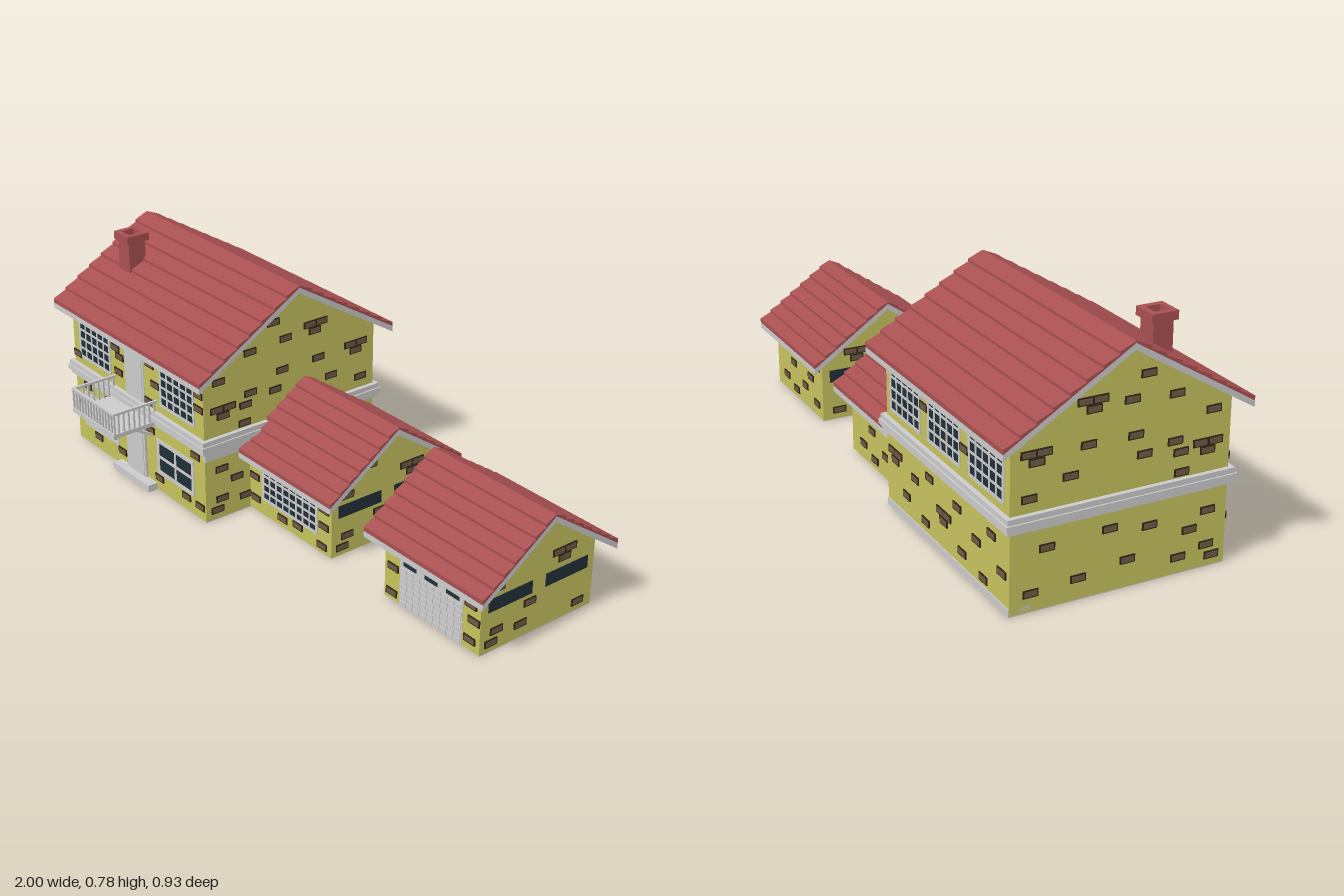
import * as THREE from 'three';

const mat = (color, side = THREE.FrontSide) => new THREE.MeshStandardMaterial({ color, side, flatShading: true });
const grey = mat(0xcccccc), wallMat = mat(0xc6c25e), openWallMat = mat(0xc6c25e, THREE.DoubleSide);
const red = mat(0xa85052), glass = mat(0x212f38), brickMat = mat(0x705b45), mortarMat = mat(0x302619);

function add(parent, name, geometry, material) {
  const mesh = new THREE.Mesh(geometry, material);
  mesh.name = name;
  parent.add(mesh);
  return mesh;
}

// box given by its limits
function block(parent, name, x0, x1, y0, y1, z0, z1, material = grey) {
  const m = add(parent, name, new THREE.BoxGeometry(x1 - x0, y1 - y0, z1 - z0), material);
  m.position.set((x0 + x1) / 2, (y0 + y1) / 2, (z0 + z1) / 2);
  return m;
}

// cross-section of [z, y] points swept along x
function sweepX(points, x0, x1) {
  const shape = new THREE.Shape(points.map(([z, y]) => new THREE.Vector2(-z, y)));
  return new THREE.ExtrudeGeometry(shape, { depth: x1 - x0, bevelEnabled: false })
    .rotateY(Math.PI / 2).translate(x0, 0, 0);
}

// keeps the upright walls only, without the one facing -x
function openShell(geometry) {
  const p = geometry.attributes.position, n = geometry.attributes.normal, kept = [];
  for (let i = 0; i < p.count; i += 3) {
    if (Math.abs(n.getY(i)) > 0.1 || n.getX(i) < -0.5) continue;
    for (let k = i; k < i + 3; k++) kept.push(p.getX(k), p.getY(k), p.getZ(k));
  }
  const g = new THREE.BufferGeometry();
  g.setAttribute('position', new THREE.Float32BufferAttribute(kept, 3));
  g.computeVertexNormals();
  return g;
}

// local frame on a wall: x along the wall, y up, z outward
function facade(parent, name, x, z, angle) {
  const g = new THREE.Group();
  g.name = name;
  g.position.set(x, 0, z);
  g.rotation.y = angle;
  parent.add(g);
  return g;
}

const brickGeo = new THREE.BoxGeometry(0.041, 0.017, 0.005).translate(0, 0, 0.003);
const mortarGeo = new THREE.BoxGeometry(0.049, 0.024, 0.004).translate(0, 0, 0.0025);
function bricks(wall, list) {
  for (const [u, v] of list) {
    add(wall, 'brickEdge', mortarGeo, mortarMat).position.set(u, v, 0);
    add(wall, 'brick', brickGeo, brickMat).position.set(u, v, 0);
  }
}

function windowUnit(wall, u0, u1, v0, v1, cols, rows, bar = 0.007, frame = 0.01) {
  const g = new THREE.Group();
  g.name = 'window';
  wall.add(g);
  block(g, 'pane', u0, u1, v0, v1, -0.001, 0.001, glass);
  for (let i = 0; i <= cols; i++) {
    const u = u0 + (u1 - u0) * i / cols, h = (i % cols ? bar : frame) / 2;
    block(g, 'upright', u - h, u + h, v0, v1, -0.003, 0.003);
  }
  for (let j = 0; j <= rows; j++) {
    const v = v0 + (v1 - v0) * j / rows, h = (j % rows ? bar : frame) / 2;
    block(g, 'crossbar', u0 - frame / 2, u1 + frame / 2, v - h, v + h, -0.0035, 0.0035);
  }
}

// gable roof: grey boards below, stepped rows of shingles above
function roof(parent, x0, x1, ridgeZ, ridgeY, run, slope, rows) {
  const t = 0.02, g = new THREE.Group();
  g.name = 'roof';
  parent.add(g);
  const e = ridgeY - run * slope;
  add(g, 'roofBoards', sweepX([[ridgeZ + run, e], [ridgeZ + run, e + t], [ridgeZ, ridgeY + t],
    [ridgeZ - run, e + t], [ridgeZ - run, e], [ridgeZ, ridgeY]], x0, x1), grey);
  for (const s of [1, -1]) for (let i = 0; i < rows; i++) {
    const a = run * (i + 1) / rows, b = run * i / rows;
    const at = (d, lift) => [ridgeZ + s * d, ridgeY + t - d * slope + lift];
    const row = [at(a, 0), at(a, 0.015), at(b, 0.006), at(b, 0)];
    add(g, 'shingleRow', sweepX(row, x0, x1), red);
  }
}

const MAIN_SIDE = [[.01, .645], [-.04, .577], [.105, .567], [-.14, .598], [-.188, .598], [-.16, .572], [.23, .497],
  [-.025, .468], [-.175, .47], [.105, .423], [.005, .405], [.24, .4], [.19, .4], [.215, .374], [.125, .386],
  [.13, .323], [-.312, .478], [-.36, .478], [-.335, .452], [-.23, .389], [-.357, .348], [.225, .184],
  [.165, .135], [.225, .074], [.245, .037], [.13, .055]];
const LOW_SIDE = [[-.047, .292], [.047, .214], [-.195, .243], [-.243, .243], [-.22, .217], [-.085, .114],
  [.047, .07], [.067, .033], [-.05, .051], [-.29, .035]];
const LOW_BACK = [[-.16, .18], [-.12, .06], [-.05, .13], [-.03, .035], [.03, .17], [.055, .08], [.11, .13], [.16, .05], [.17, .19]];
const flip = list => list.map(([u, v]) => [-u, v]);
const shift = (list, d) => list.map(([u, v]) => [u + d, v]);

function mainHouse() {
  const g = new THREE.Group();
  g.name = 'mainHouse';
  add(g, 'walls', sweepX([[.29, .003], [.29, .527], [-.065, .74], [-.415, .53], [-.415, .003]], -.95, -.16), wallMat);
  block(g, 'floor', -.95, -.16, 0, .003, -.415, .29);
  block(g, 'rearFooting', -.95, -.158, 0, .025, -.418, -.35);
  block(g, 'sideTrim', -.17, -.157, .225, .256, .1, .29);
  [[.255, .27, .012], [.27, .288, .02], [.288, .305, .015]].forEach(([y0, y1, o]) =>
    block(g, 'bandBoard', -.95 - o, -.16 + o, y0, y1, -.415 - o, .29 + o));
  roof(g, -1, -.117, -.065, .74, .398, .607, 8);

  const front = facade(g, 'frontWall', 0, .29, 0);
  windowUnit(front, -.905, -.715, .338, .475, 5, 4);
  windowUnit(front, -.405, -.215, .338, .475, 5, 4);
  windowUnit(front, -.895, -.69, .078, .195, 2, 2, .01, .014);
  windowUnit(front, -.433, -.23, .078, .195, 2, 2, .01, .014);
  for (const [y0, y1, out] of [[.025, .225, .01], [.27, .48, .004]]) {
    block(front, 'doorFrame', -.62, -.505, y0, y1, -.004, out - .002);
    block(front, 'door', -.61, -.515, y0, y1 - .01, -.004, out);
  }
  bricks(front, [[-.675, .45], [-.65, .425], [-.66, .365], [-.465, .465], [-.435, .4], [-.475, .325], [-.185, .41],
    [-.185, .46], [-.87, .232], [-.73, .225], [-.815, .053], [-.645, .225], [-.43, .053], [-.27, .053], [-.21, .23],
    [-.19, .05], [-.925, .34], [-.925, .15], [-.66, .06], [-.475, .22]]);

  const back = facade(g, 'backWall', 0, -.415, Math.PI);
  for (const u of [.295, .555, .815]) windowUnit(back, u - .1, u + .1, .335, .48, 5, 4);
  bricks(back, [[.2, .2], [.245, .2], [.222, .175], [.3, .09], [.36, .17], [.43, .06], [.46, .215], [.53, .14], [.575, .14],
    [.552, .115], [.64, .2], [.67, .07], [.76, .15], [.8, .05], [.85, .21], [.91, .12], [.425, .43], [.685, .4]]);

  bricks(facade(g, 'leftWall', -.16, 0, Math.PI / 2), flip(MAIN_SIDE));
  bricks(facade(g, 'rightWall', -.95, 0, -Math.PI / 2), MAIN_SIDE.concat([[-.1, .2], [-.04, .09], [-.2, .07],
    [-.3, .19], [-.35, .06], [.03, .18]]));

  block(g, 'doorstep', -.67, -.45, 0, .025, .28, .327);
  return g;
}

function balcony() {
  const g = new THREE.Group();
  g.name = 'balcony';
  const x0 = -.69, x1 = -.43, z1 = .462;
  block(g, 'deck', x0, x1, .255, .27, .28, z1);
  block(g, 'frontHandrail', x0, x1, .337, .345, z1 - .009, z1);
  for (let i = 0; i <= 14; i++) {
    const x = x0 + .003 + (x1 - x0 - .006) * i / 14;
    block(g, 'baluster', x - .003, x + .003, .27, .338, z1 - .008, z1 - .002);
  }
  for (const x of [x0 + .0045, x1 - .0045]) {
    block(g, 'sideHandrail', x - .0045, x + .0045, .337, .345, .29, z1);
    for (let i = 0; i < 8; i++) {
      const z = .3 + i * .02;
      block(g, 'baluster', x - .003, x + .003, .27, .338, z - .003, z + .003);
    }
    const inner = x + Math.sign(-.56 - x) * .025;
    add(g, 'brace', sweepX([[.285, .199], [.285, .207], [.375, .257], [.392, .257]], inner - .005, inner + .005), grey);
  }
  return g;
}

const LOW_SECTION = [[.11, .003], [.11, .231], [-.12, .39], [-.35, .231], [-.35, .003]];

// roof, bricks and strip windows shared by the wing and the garage
function lowBuilding(name, x0, x1, roof0, roof1) {
  const g = new THREE.Group();
  g.name = name;
  roof(g, roof0, roof1, -.12, .39, .275, .69, 7);
  endWall(g, 'leftWall', x1, 1);
  bricks(facade(g, 'backWall', 0, -.35, Math.PI), shift(LOW_BACK, -(x0 + x1) / 2));
  return g;
}

function endWall(parent, name, x, side) {
  const wall = facade(parent, name, x, 0, side * Math.PI / 2);
  bricks(wall, side > 0 ? flip(LOW_SIDE) : LOW_SIDE);
  for (const z of [-.005, -.235])
    block(wall, 'stripWindow', -side * z - .087, -side * z + .087, .14, .183, -.001, .003, glass);
}

export function createModel() {
  const model = new THREE.Group();
  model.name = 'house';
  model.add(mainHouse(), balcony());

  // wing, open underneath and towards the main house
  const wing = lowBuilding('wing', -.16, .27, -.165, .317);
  add(wing, 'walls', openShell(sweepX(LOW_SECTION, -.16, .27)), openWallMat);
  add(wing, 'ceiling', sweepX([[.109, .228], [.109, .231], [-.12, .389], [-.349, .231], [-.349, .228], [-.12, .386]],
    -.159, .269), red);
  const wingFront = facade(wing, 'frontWall', 0, .11, 0);
  windowUnit(wingFront, -.085, .195, .064, .181, 8, 4);
  bricks(wingFront, [[-.125, .05], [-.13, .13], [.02, .035], [.1, .045], [.235, .105], [.235, .165], [.225, .03], [-.125, .185]]);

  const garage = lowBuilding('garage', .53, .95, .48, 1);
  endWall(garage, 'rightWall', .53, -1);
  add(garage, 'walls', sweepX(LOW_SECTION, .53, .95), wallMat);
  block(garage, 'floor', .53, .95, 0, .003, -.35, .11);
  const gFront = facade(garage, 'frontWall', 0, .11, 0);
  bricks(gFront, [[.56, .18], [.57, .12], [.565, .03], [.91, .16], [.925, .11], [.91, .04], [.91, .185]]);
  block(gFront, 'garageDoor', .6, .877, 0, .18, -.004, .0015);
  for (const u of [.645, .738, .832]) block(gFront, 'doorWindow', u - .028, u + .028, .147, .167, 0, .003, glass);
  // raised panels in staggered rows
  for (let r = 0; r < 7; r++) for (let c = 0; c < 9; c++) {
    const u = .604 + c * .03 + (r % 2) * .003;
    block(gFront, 'doorPanel', u, u + .026, .004 + r * .0195, .02 + r * .0195, 0, .0035);
  }
  model.add(wing, garage);

  // hollow chimney
  const chimney = new THREE.Group();
  chimney.name = 'chimney';
  for (const [name, h, y0, y1] of [['shaft', .033, .6, .75], ['cap', .043, .75, .777]]) {
    const square = (C, r) => new C([[-r, -r], [r, -r], [r, r], [-r, r]].map(p => new THREE.Vector2(...p)));
    const ring = square(THREE.Shape, h);
    ring.holes.push(square(THREE.Path, .024));
    add(chimney, name, new THREE.ExtrudeGeometry(ring, { depth: y1 - y0, bevelEnabled: false }).rotateX(-Math.PI / 2), red)
      .position.set(-.834, y0, .107);
  }
  model.add(chimney);
  return model;
}
